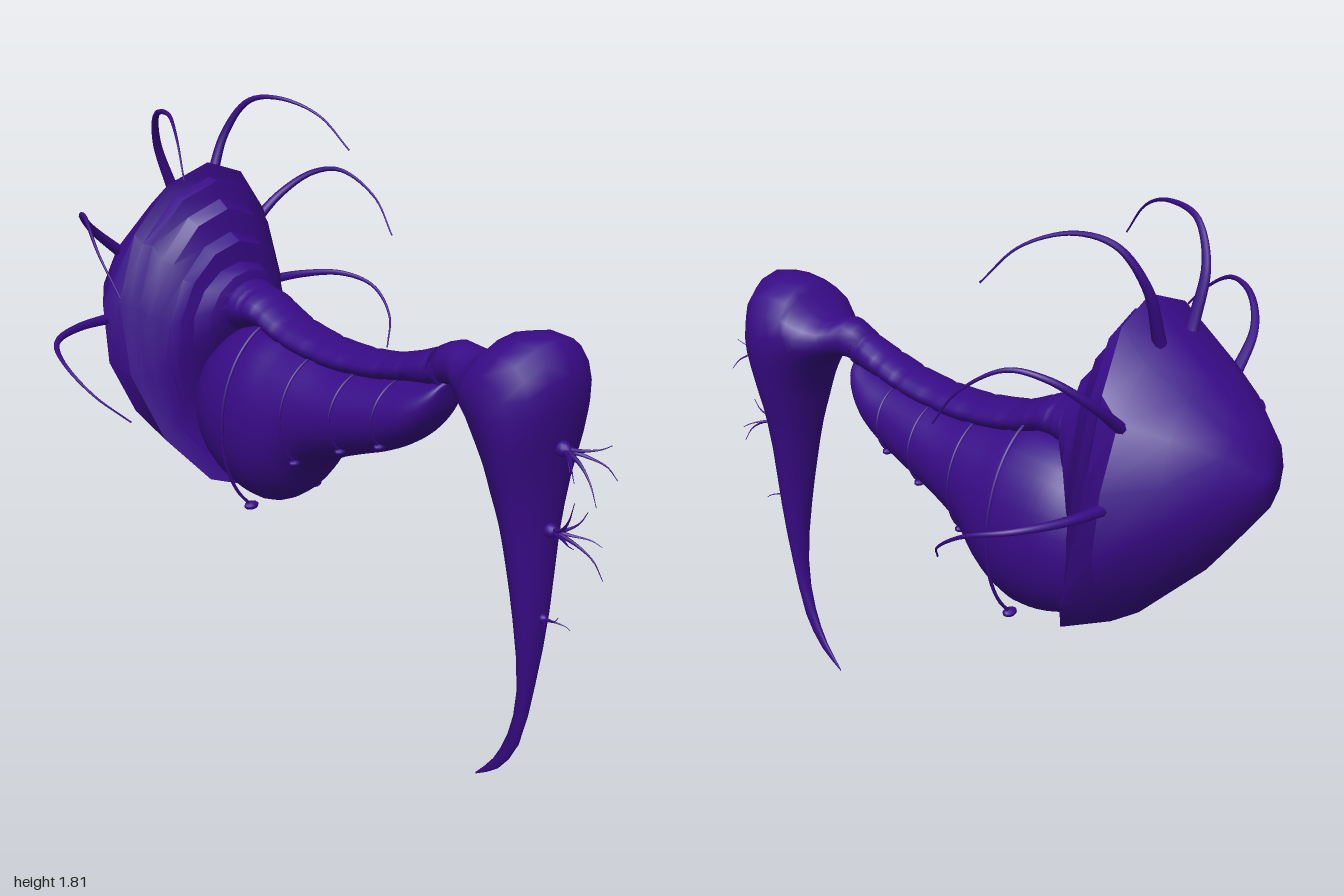
import * as THREE from 'three';
import { toCreasedNormals } from 'three/addons/utils/BufferGeometryUtils.js';

const material = new THREE.MeshStandardMaterial({ color: 0x380b87, side: THREE.DoubleSide });

function addMesh(parent, name, geometry) {
  const mesh = new THREE.Mesh(geometry, material);
  mesh.name = name;
  parent.add(mesh);
  return mesh;
}

// Point on a section [topX, topY, bottomX, bottomY, halfWidth, bow]; angle 0 is the top, bow pulls the sides back
function sectionPoint([tx, ty, bx, by, w, bow = 0], a, scale = 1) {
  const c = Math.cos(a) * 0.5 * scale, s = Math.sin(a);
  return new THREE.Vector3((tx + bx) / 2 + (tx - bx) * c - bow * s * s, (ty + by) / 2 + (ty - by) * c, s * w * scale);
}

// Smoothly resample a list of sections
function refine(sections, count) {
  const top = new THREE.CatmullRomCurve3(sections.map(s => new THREE.Vector3(s[0], s[1], s[4])));
  const bottom = new THREE.CatmullRomCurve3(sections.map(s => new THREE.Vector3(s[2], s[3], 0)));
  return Array.from({ length: count + 1 }, (_, i) => {
    const p = top.getPoint(i / count), q = bottom.getPoint(i / count);
    return [p.x, p.y, q.x, q.y, Math.max(p.z, 0.001)];
  });
}

// Skin over sections, closed at both ends
function loft(sections, sides) {
  const pos = [], index = [];
  for (const s of sections) {
    for (let i = 0; i < sides; i++) pos.push(...sectionPoint(s, i / sides * Math.PI * 2));
  }
  const last = sections.length - 1;
  for (let j = 0; j < last; j++) {
    for (let i = 0; i < sides; i++) {
      const a = j * sides + i, b = j * sides + (i + 1) % sides;
      index.push(a, b, a + sides, b, b + sides, a + sides);
    }
  }
  const centre = pos.length / 3;
  pos.push(...sectionPoint(sections[0], 0, 0), ...sectionPoint(sections[last], 0, 0));
  for (let i = 0; i < sides; i++) {
    const n = (i + 1) % sides;
    index.push(centre, n, i, centre + 1, last * sides + i, last * sides + n);
  }
  const geo = new THREE.BufferGeometry();
  geo.setAttribute('position', new THREE.Float32BufferAttribute(pos, 3));
  geo.setIndex(index);
  geo.computeVertexNormals();
  return geo;
}

// Tube that thins from r0 to r1, quickest near its root
function taperedTube(points, r0, r1, segments = 24, sides = 8) {
  const curve = new THREE.CatmullRomCurve3(points.map(p => new THREE.Vector3(...p)));
  const geo = new THREE.TubeGeometry(curve, segments, 1, sides);
  const pos = geo.attributes.position, v = new THREE.Vector3();
  for (let i = 0; i < pos.count; i++) {
    const t = Math.floor(i / (sides + 1)) / segments;
    const c = curve.getPointAt(t);
    v.fromBufferAttribute(pos, i).sub(c).multiplyScalar(r1 + (r0 - r1) * (1 - t) ** 1.6).add(c);
    pos.setXYZ(i, v.x, v.y, v.z);
  }
  return geo;
}

export function createModel() {
  const model = new THREE.Group();
  model.name = 'creature';

  // Angular hood, its front stepping inwards in layered plates
  const hood = [
    [-1.0, 1.22, -1.0, 1.17, 0.03],
    [-0.93, 1.34, -0.98, 1.09, 0.15],
    [-0.82, 1.44, -0.84, 0.90, 0.26, 0.02],
    [-0.71, 1.535, -0.63, 0.69, 0.348, 0.05],
    [-0.615, 1.62, -0.43, 0.59, 0.325, 0.13],
    [-0.61, 1.575, -0.45, 0.63, 0.305, 0.10],
    [-0.57, 1.57, -0.46, 0.65, 0.29, 0.09],
    [-0.56, 1.515, -0.48, 0.67, 0.27, 0.06],
    [-0.52, 1.49, -0.50, 0.70, 0.25, 0.05],
    [-0.51, 1.42, -0.53, 0.76, 0.225, 0.02],
    [-0.465, 1.40, -0.54, 0.82, 0.21, 0.01],
    [-0.465, 1.335, -0.52, 0.95, 0.17],
    [-0.415, 1.32, -0.47, 1.02, 0.14],
    [-0.40, 1.26, -0.43, 1.14, 0.09],
  ];
  addMesh(model, 'hood', toCreasedNormals(loft(hood, 14), 0.6));

  // Swollen belly
  const belly = [
    [-0.575, 0.92, -0.575, 0.80, 0.05],
    [-0.53, 1.06, -0.53, 0.69, 0.14],
    [-0.42, 1.14, -0.42, 0.625, 0.195],
    [-0.27, 1.165, -0.27, 0.60, 0.21],
    [-0.17, 1.15, -0.17, 0.65, 0.20],
    [-0.07, 1.14, -0.07, 0.77, 0.175],
    [0.02, 1.13, 0.02, 0.83, 0.16],
    [0.115, 1.135, 0.11, 0.87, 0.145],
    [0.27, 1.15, 0.255, 0.93, 0.12],
    [0.38, 1.17, 0.36, 1.0, 0.10],
    [0.44, 1.19, 0.43, 1.09, 0.06],
    [0.455, 1.19, 0.45, 1.16, 0.02],
  ];
  addMesh(model, 'belly', loft(refine(belly, 55), 32));

  // Faintly ribbed back linking hood and head
  const back = refine([
    [-0.47, 1.32, -0.47, 1.10, 0.105],
    [-0.40, 1.285, -0.40, 1.14, 0.095],
    [-0.32, 1.265, -0.32, 1.16, 0.088],
    [-0.20, 1.215, -0.20, 1.13, 0.085],
    [0.0, 1.19, 0.0, 1.11, 0.08],
    [0.20, 1.205, 0.20, 1.13, 0.075],
    [0.32, 1.24, 0.32, 1.155, 0.07],
    [0.44, 1.29, 0.44, 1.17, 0.06],
  ], 56).map(([tx, ty, bx, by, w], i) => {
    const rib = i % 6 === 0 ? -0.003 : 0.001;
    return [tx, ty + rib, bx, by - rib, w + rib];
  });
  addMesh(model, 'back', loft(back, 20));

  // Head turning down into a long hooked beak
  const head = [
    [0.41, 1.28, 0.41, 1.17, 0.06],
    [0.48, 1.312, 0.48, 1.185, 0.066],
    [0.56, 1.295, 0.53, 1.18, 0.10],
    [0.64, 1.34, 0.57, 1.15, 0.14],
    [0.67, 1.38, 0.60, 1.12, 0.158],
    [0.815, 1.395, 0.64, 1.05, 0.18],
    [0.865, 1.31, 0.66, 1.0, 0.172],
    [0.86, 1.19, 0.68, 0.93, 0.152],
    [0.835, 1.05, 0.70, 0.85, 0.122],
    [0.82, 0.85, 0.715, 0.74, 0.09],
    [0.815, 0.61, 0.735, 0.58, 0.06],
    [0.79, 0.38, 0.75, 0.36, 0.032],
    [0.75, 0.17, 0.715, 0.20, 0.017],
    [0.68, 0.06, 0.66, 0.085, 0.009],
    [0.595, 0.0, 0.595, 0.006, 0.002],
  ];
  addMesh(model, 'headAndBeak', loft(refine(head, 28), 16));

  // Three mirrored pairs of arching feelers on the hood
  const feelers = [
    [[-0.70, 1.52, 0.07], [-0.695, 1.68, 0.13], [-0.63, 1.785, 0.175], [-0.52, 1.805, 0.21], [-0.40, 1.76, 0.27], [-0.31, 1.66, 0.315]],
    [[-0.73, 1.34, 0.24], [-0.71, 1.45, 0.37], [-0.64, 1.52, 0.45], [-0.55, 1.535, 0.495], [-0.43, 1.46, 0.535], [-0.34, 1.35, 0.53]],
    [[-0.73, 1.155, 0.28], [-0.70, 1.16, 0.45], [-0.63, 1.155, 0.57], [-0.52, 1.125, 0.615], [-0.41, 1.05, 0.59], [-0.34, 0.97, 0.515]],
  ];
  // Cords down the belly: [section, scale, end angle, radius]
  const cords = [[3, 1.14, 2.56, 0.005], [5, 1.02, 2.4, 0.004], [7, 1.02, 2.4, 0.004], [8, 1.02, 2.4, 0.004]];
  for (const side of [1, -1]) {
    const label = side > 0 ? 'left' : 'right';
    feelers.forEach(f => addMesh(model, label + 'Feeler',
      taperedTube(f.map(([x, y, z]) => [x, y, z * side]), 0.019, 0.0025, 36)));

    for (const [s, scale, end, r] of cords) {
      const points = Array.from({ length: 10 }, (_, i) => {
        const p = sectionPoint(belly[s], 0.2 + (end - 0.2) * i / 9, scale);
        return [p.x, p.y, p.z * side];
      });
      addMesh(model, label + 'Cord', taperedTube(points, r, r, 32, 6));
      const knob = addMesh(model, label + 'CordKnob', new THREE.SphereGeometry(r * 3, 10, 8));
      knob.position.set(...points[9]);
      knob.scale.set(1.2, 0.9, 1.7);
    }
  }

  // Rooted tufts of hair along the front of the beak: base, size, hair tips [dx, dy, dz]
  const tufts = [
    [0.85, 1.11, 0.022, [[0.145, -0.11, 0.03], [0.12, 0.03, -0.05], [0.11, -0.04, 0.08], [0.13, -0.07, -0.07], [0.07, -0.03, 0.05]]],
    [0.825, 0.87, 0.02, [[0.10, 0.12, 0.03], [0.16, -0.10, -0.03], [0.13, 0.01, 0.06], [0.12, -0.03, -0.07], [0.09, 0.07, -0.04]]],
    [0.815, 0.605, 0.013, [[0.07, 0.035, 0.02], [0.075, -0.02, -0.03], [0.05, 0.0, 0.05]]],
  ];
  for (const [x, y, r, tips] of tufts) {
    const tuft = new THREE.Group();
    tuft.name = 'hairTuft';
    tuft.position.set(x, y, 0);
    model.add(tuft);
    addMesh(tuft, 'tuftRoot', new THREE.SphereGeometry(r, 12, 8)).scale.x = 1.3;
    for (const [dx, dy, dz] of tips) {
      addMesh(tuft, 'hair', taperedTube(
        [[0, 0, 0], [dx * 0.45, dy * 0.15, dz * 0.35], [dx * 0.8, dy * 0.5, dz * 0.8], [dx, dy, dz]], r * 0.45, 0.001, 12, 6));
    }
  }
  return model;
}
